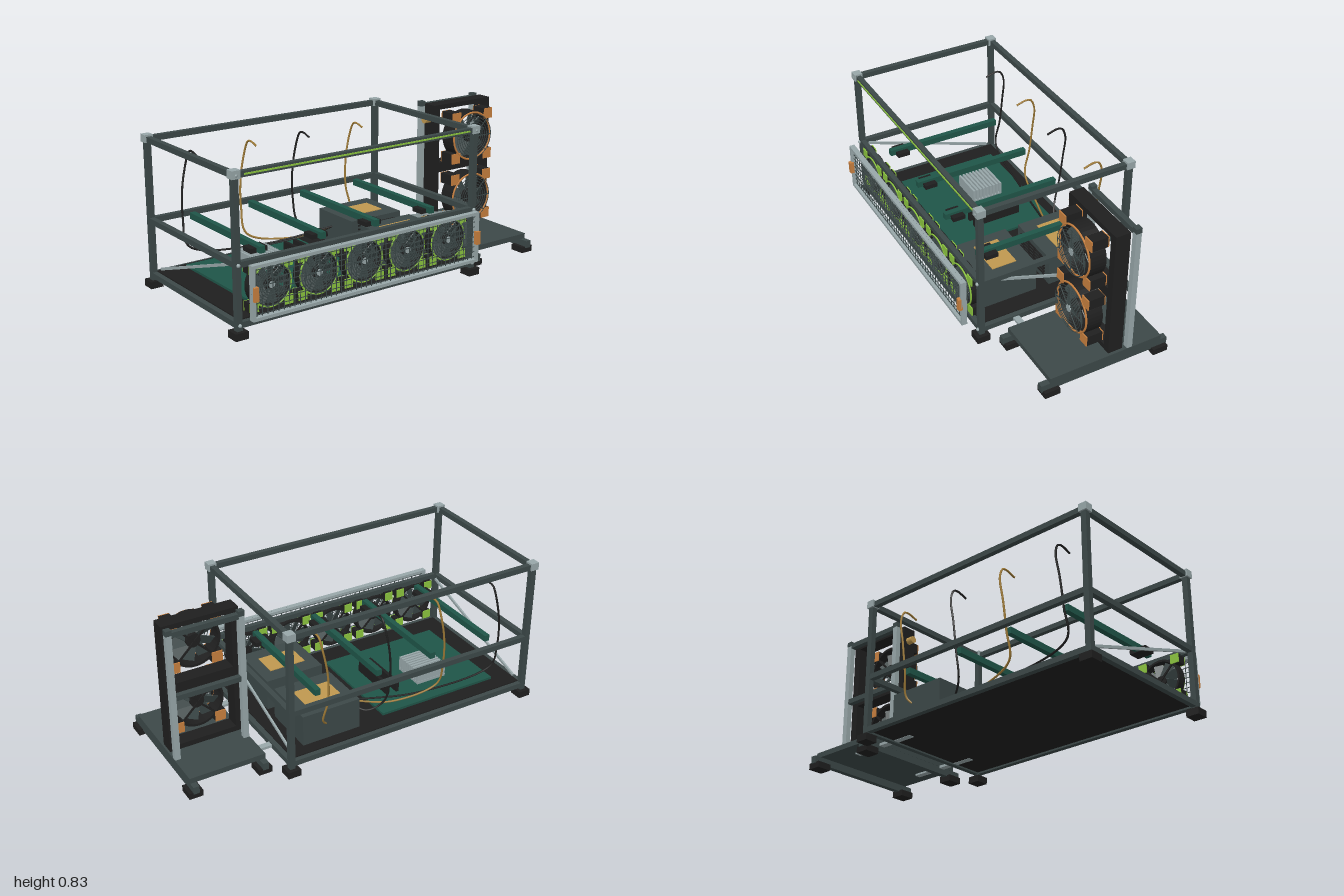
import * as THREE from 'three';

const mat = (name, hex) => {
  const m = new THREE.MeshStandardMaterial({ color: hex });
  m.name = name;
  return m;
};

export function createModel() {
  const root = new THREE.Group();
  root.name = 'openFrameComputer';
  const slate = mat('slate', 0x3c4848), black = mat('black', 0x1f1f1f), light = mat('lightMetal', 0x98a7a9);
  const teal = mat('teal', 0x1f5548), lime = mat('lime', 0x8cc63f), copper = mat('copper', 0xc8803f);
  const gold = mat('gold', 0xbf9850), brass = mat('brassCable', 0xa07c38);

  const add = (name, geo, m, parent = root) => {
    const mesh = new THREE.Mesh(geo, m);
    mesh.name = name;
    parent.add(mesh);
    return mesh;
  };
  // box given by its extents on each axis
  const box = (name, m, x0, x1, y0, y1, z0, z1, parent = root) => {
    const b = add(name, new THREE.BoxGeometry(x1 - x0, y1 - y0, z1 - z0), m, parent);
    b.position.set((x0 + x1) / 2, (y0 + y1) / 2, (z0 + z1) / 2);
    return b;
  };
  const group = (name) => {
    const g = new THREE.Group();
    g.name = name;
    root.add(g);
    return g;
  };

  // ---- main frame: posts, feet, corner caps, bolts and rails
  const frame = group('mainFrame');
  const X = [-0.965, 0.47], Z = [-0.452, 0.385], r = 0.015;
  for (const x of X) {
    for (const z of Z) {
      box('post', slate, x - r, x + r, 0.03, 0.79, z - r, z + r, frame);
      box('foot', black, x - 0.035, x + 0.035, 0, 0.037, z - 0.036, z + 0.036, frame);
      box('cornerCap', light, x - 0.023, x + 0.023, 0.77, 0.81, z - 0.023, z + 0.023, frame);
    }
    for (const y of [0.065, 0.36, 0.786]) {
      box('sideRail', slate, x - 0.014, x + 0.014, y - 0.0145, y + 0.0145, Z[0], Z[1], frame);
      add('bolt', new THREE.SphereGeometry(0.01, 10, 6), light, frame).position.set(x, y, Z[1] + 0.017);
    }
    // diagonal brace on each side
    const brace = add('diagonalBrace', new THREE.BoxGeometry(0.01, 0.014, 0.8), light, frame);
    brace.position.set(x + (x < 0 ? 0.022 : -0.022), 0.227, -0.025);
    brace.rotation.x = -Math.atan2(0.25, 0.76);
  }
  for (const z of Z) {
    for (const y of [0.065, 0.36, 0.786]) {
      box('longRail', slate, X[0], X[1], y - 0.0145, y + 0.0145, z - 0.014, z + 0.014, frame);
    }
  }
  box('lightStrip', lime, -0.92, 0.43, 0.782, 0.79, 0.399, 0.403, frame);
  box('tray', black, -0.95, 0.457, 0.06, 0.085, -0.44, 0.37, frame);

  // ---- circuit board with heat sink and memory
  const board = group('circuitBoard');
  box('boardPlate', teal, -0.82, -0.12, 0.097, 0.11, -0.37, 0.22, board);
  for (const x of [-0.78, -0.16]) for (const z of [-0.33, 0.18]) {
    box('standoff', light, x - 0.01, x + 0.01, 0.085, 0.097, z - 0.01, z + 0.01, board);
  }
  box('heatSinkBase', light, -0.61, -0.43, 0.11, 0.125, -0.23, -0.05, board);
  for (let i = 0; i < 9; i++) {
    const z = -0.228 + i * 0.0208;
    box('heatSinkFin', light, -0.61, -0.43, 0.125, 0.19, z, z + 0.012, board);
  }
  for (const x of [-0.3, -0.24]) box('memoryStick', black, x - 0.009, x + 0.009, 0.11, 0.17, -0.23, 0.05, board);

  // ---- two power supplies with gold top plates
  for (const [z0, z1] of [[-0.378, -0.075], [0.002, 0.305]]) {
    const psu = group('powerSupply');
    const c = (z0 + z1) / 2;
    box('powerSupplyCase', slate, 0.03, 0.36, 0.085, 0.255, z0, z1, psu);
    box('powerSupplyLabel', gold, 0.09, 0.295, 0.255, 0.259, c - 0.07, c + 0.07, psu);
    for (let i = 0; i < 6; i++) {
      box('ventSlat', black, 0.07, 0.32, 0.12 + i * 0.02, 0.127 + i * 0.02, z1, z1 + 0.007, psu);
    }
  }

  // ---- crossbars with connector blocks, and cables
  [-0.77, -0.42, -0.09, 0.27].forEach((x, i) => {
    box('crossbar', teal, x - 0.015, x + 0.015, 0.352, 0.386, -0.37, 0.3);
    box('connectorBlock', black, x - 0.047, x + 0.047, 0.348, 0.372, 0.2, 0.27);
    const t = x + 0.01;
    const path = new THREE.CatmullRomCurve3([
      [0.03, 0.18, -0.26], [0.02 + (x - 0.02) * 0.5, 0.14, -0.335], [x - 0.02, 0.2, -0.388],
      [x - 0.03, 0.34, -0.42], [x - 0.02, 0.5, -0.432], [t - 0.005, 0.64, -0.427],
      [t, 0.7, -0.4], [t, 0.706, -0.37], [t, 0.69, -0.312],
    ].map((p) => new THREE.Vector3(...p)));
    add('cable', new THREE.TubeGeometry(path, 60, 0.0055, 6), i % 2 ? brass : black);
  });

  // ---- fan facing +z: open shroud, corner pads, accent ring, rotor and wire guard
  const fan = (name, x, y, half, depth, z, accent, guardGap) => {
    const g = group(name);
    g.position.set(x, y, z);
    const R = half * 0.97, ri = half * 0.88, f = depth / 2;
    const ring = new THREE.LatheGeometry(
      [[ri, -f], [R, -f], [R, f], [ri, f], [ri, -f]].map((p) => new THREE.Vector2(...p)), 40);
    const shroud = add('shroud', ring.toNonIndexed(), black, g);
    shroud.material.side = THREE.DoubleSide;
    shroud.geometry.computeVertexNormals();
    shroud.rotation.x = Math.PI / 2;
    const p = half * 0.4;
    for (const sx of [-1, 1]) for (const sy of [-1, 1]) {
      const cx = sx * (half - p / 2), cy = sy * (half - p / 2);
      box('cornerBlock', black, cx - p / 2, cx + p / 2, cy - p / 2, cy + p / 2, -f, f, g);
      for (const s of [-1, 1]) {
        box('cornerPad', accent, cx - p / 2, cx + p / 2, cy - p / 2, cy + p / 2,
          s * (f + 0.003) - 0.003, s * (f + 0.003) + 0.003, g);
      }
    }
    add('accentRing', new THREE.TorusGeometry(half * 0.92, half * 0.04, 6, 40), accent, g).position.z = f + 0.003;
    // rotor
    const hub = add('hub', new THREE.CylinderGeometry(half * 0.26, half * 0.26, depth * 0.7, 20), black, g);
    hub.rotation.x = Math.PI / 2;
    for (let i = 0; i < 9; i++) {
      const arm = new THREE.Group();
      arm.name = 'bladeArm';
      arm.rotation.z = (i * Math.PI * 2) / 9;
      g.add(arm);
      const blade = add('blade', new THREE.BoxGeometry(half * 0.62, half * 0.4, 0.004), slate, arm);
      blade.position.x = half * 0.53;
      blade.rotation.x = 0.5;
    }
    for (const a of [0, Math.PI / 2]) {
      add('motorStrut', new THREE.BoxGeometry(half * 1.8, 0.01, 0.006), black, g).rotation.z = a + Math.PI / 4;
    }
    g.children.filter((c) => c.name === 'motorStrut').forEach((c) => { c.position.z = -f + 0.004; });
    // wire guard
    const zg = f + guardGap;
    for (let i = 1; i <= 7; i++) {
      const guard = add('guardRing', new THREE.TorusGeometry(half * (0.12 + i * 0.105), 0.0022, 4, 36), slate, g);
      guard.position.z = zg;
    }
    for (let i = 0; i < 4; i++) {
      const spoke = add('guardSpoke', new THREE.BoxGeometry(half * 1.72, 0.004, 0.004), slate, g);
      spoke.position.z = zg;
      spoke.rotation.z = (i * Math.PI) / 4;
    }
    const cap = add('guardCentre', new THREE.CylinderGeometry(half * 0.14, half * 0.14, 0.005, 16), light, g);
    cap.rotation.x = Math.PI / 2;
    cap.position.z = zg;
  };
  for (let i = 0; i < 5; i++) fan('frontFan', -0.79 + i * 0.271, 0.232, 0.12, 0.048, 0.376, lime, 0.008);

  // ---- detached front filter panel with mesh and handles
  const panel = group('frontPanel');
  const [px0, px1, py0, py1] = [-0.937, 0.442, 0.1, 0.372];
  for (const x of [px0, px1 - 0.016]) box('panelSide', light, x, x + 0.016, py0, py1, 0.447, 0.477, panel);
  for (const y of [py0, py1 - 0.016]) box('panelEdge', light, px0, px1, y, y + 0.016, 0.447, 0.477, panel);
  for (let i = 1; i < 46; i++) {
    const x = px0 + i * 0.03;
    box('meshWire', slate, x - 0.0015, x + 0.0015, py0, py1, 0.458, 0.461, panel);
  }
  for (let i = 1; i < 10; i++) {
    const y = py0 + i * 0.0272;
    box('meshWire', slate, px0, px1, y - 0.0015, y + 0.0015, 0.461, 0.464, panel);
  }
  for (const x of [px0, px1 - 0.025]) box('panelHandle', copper, x, x + 0.025, 0.2, 0.27, 0.468, 0.491, panel);

  // ---- side stand: base plate, runners, feet and link bars
  const stand = group('coolerStand');
  box('basePlate', slate, 0.563, 0.975, 0.068, 0.097, -0.355, 0.28, stand);
  for (const x of [0.58, 0.958]) {
    box('runner', slate, x - 0.016, x + 0.016, 0.028, 0.068, -0.393, 0.328, stand);
    for (const z of [-0.345, 0.277]) box('standFoot', black, x - 0.037, x + 0.037, 0, 0.034, z - 0.042, z + 0.042, stand);
    box('upright', light, x - 0.015, x + 0.015, 0.097, 0.8, -0.185, -0.155, stand);
    box('uprightCap', slate, x - 0.016, x + 0.016, 0.8, 0.828, -0.186, -0.154, stand);
  }
  for (const y of [0.45, 0.8]) box('standCrossbar', slate, 0.58, 0.958, y - 0.014, y + 0.014, -0.184, -0.156, stand);
  for (const z of [-0.26, 0.19]) box('linkBar', light, 0.34, 0.75, 0.058, 0.072, z - 0.017, z + 0.017, stand);

  // ---- radiator frame with two openings, fittings and large fans
  const radiator = group('radiator');
  const outline = new THREE.Shape();
  const rect = (path, x0, x1, y0, y1) =>
    path.moveTo(x0, y0).lineTo(x1, y0).lineTo(x1, y1).lineTo(x0, y1).closePath();
  rect(outline, 0.568, 0.972, 0.112, 0.823);
  for (const [y0, y1] of [[0.14, 0.44], [0.495, 0.797]]) {
    const hole = new THREE.Path();
    rect(hole, 0.608, 0.932, y0, y1);
    outline.holes.push(hole);
  }
  const shell = add('radiatorFrame', new THREE.ExtrudeGeometry(outline, { depth: 0.08, bevelEnabled: false }), black, radiator);
  shell.position.z = -0.125;
  for (const y of [0.165, 0.742]) {
    const fitting = add('hoseFitting', new THREE.CylinderGeometry(0.02, 0.02, 0.05, 16), gold, radiator);
    fitting.rotation.z = Math.PI / 2;
    fitting.position.set(0.555, y, -0.088);
  }
  for (const y of [0.293, 0.643]) fan('radiatorFan', 0.77, y, 0.143, 0.085, -0.0025, copper, 0.022);

  return root;
}
